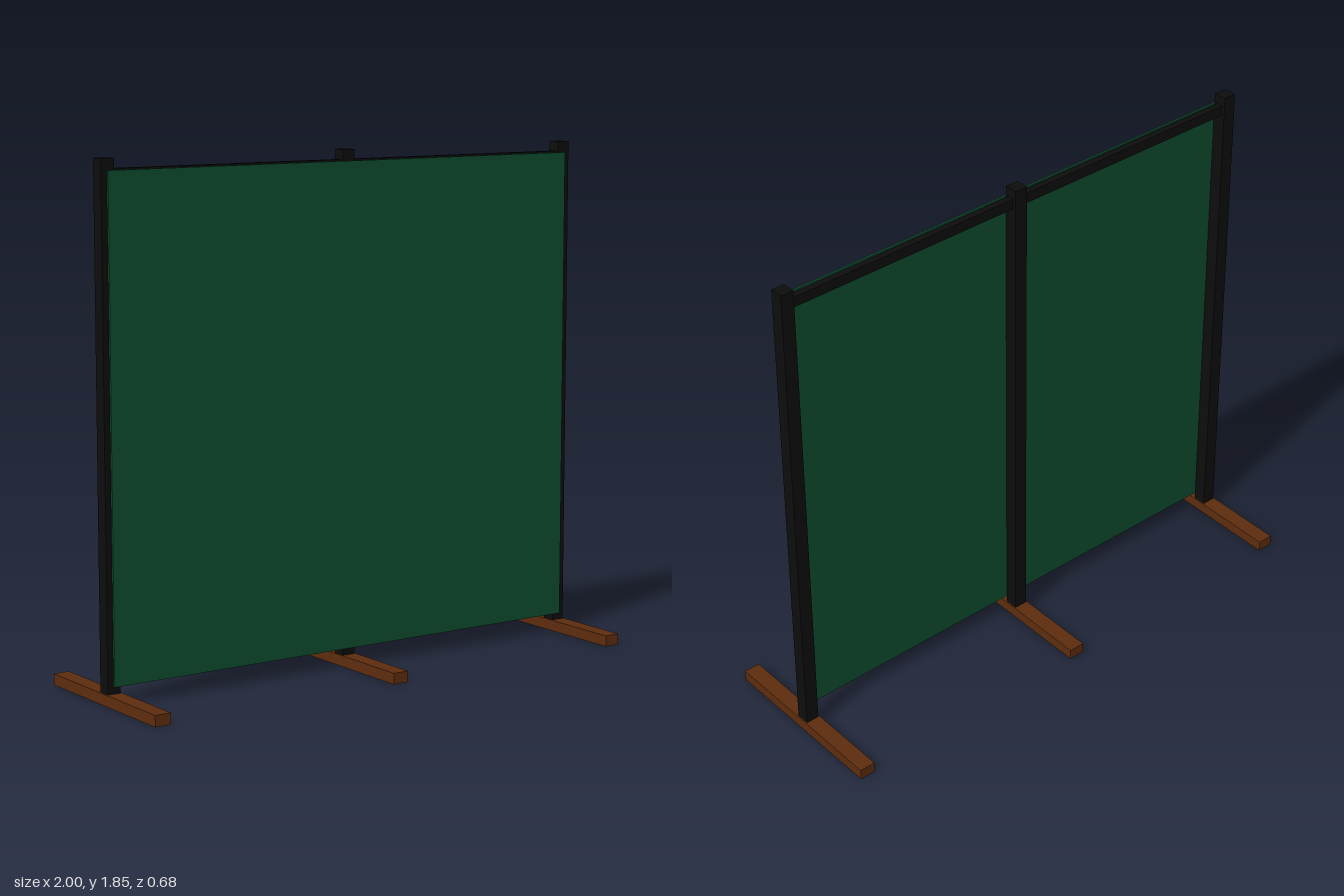
import * as THREE from 'three';

const fabricGreen = new THREE.MeshStandardMaterial({ color: 0x0e4d30 });
fabricGreen.name = 'fabricGreen';
const frameBlack = new THREE.MeshStandardMaterial({ color: 0x0d0d0e });
frameBlack.name = 'frameBlack';
const woodBrown = new THREE.MeshStandardMaterial({ color: 0x5e2d0e });
woodBrown.name = 'woodBrown';

// Box given by its size, centre x and z, and the height of its underside
function box(name, material, [w, h, d], x, bottom, z = 0) {
  const mesh = new THREE.Mesh(new THREE.BoxGeometry(w, h, d), material);
  mesh.name = name;
  mesh.position.set(x, bottom + h / 2, z);
  return mesh;
}

export function createModel() {
  const model = new THREE.Group();
  model.name = 'backdropScreen';

  // Three uprights, each standing on a wooden foot
  const supports = { right: -0.97, middle: 0, left: 0.97 };
  for (const [side, x] of Object.entries(supports)) {
    model.add(box(`${side}Foot`, woodBrown, [0.06, 0.04, 0.68], x, 0));
    model.add(box(`${side}Post`, frameBlack, [0.05, 1.805, 0.05], x, 0.04));
  }

  // Rail joining the posts near the top
  model.add(box('topRail', frameBlack, [1.94, 0.038, 0.025], 0, 1.772));

  // Thin cloth hung on the front of the posts
  model.add(box('screenPanel', fabricGreen, [1.945, 1.74, 0.008], 0, 0.065, 0.029));

  return model;
}
